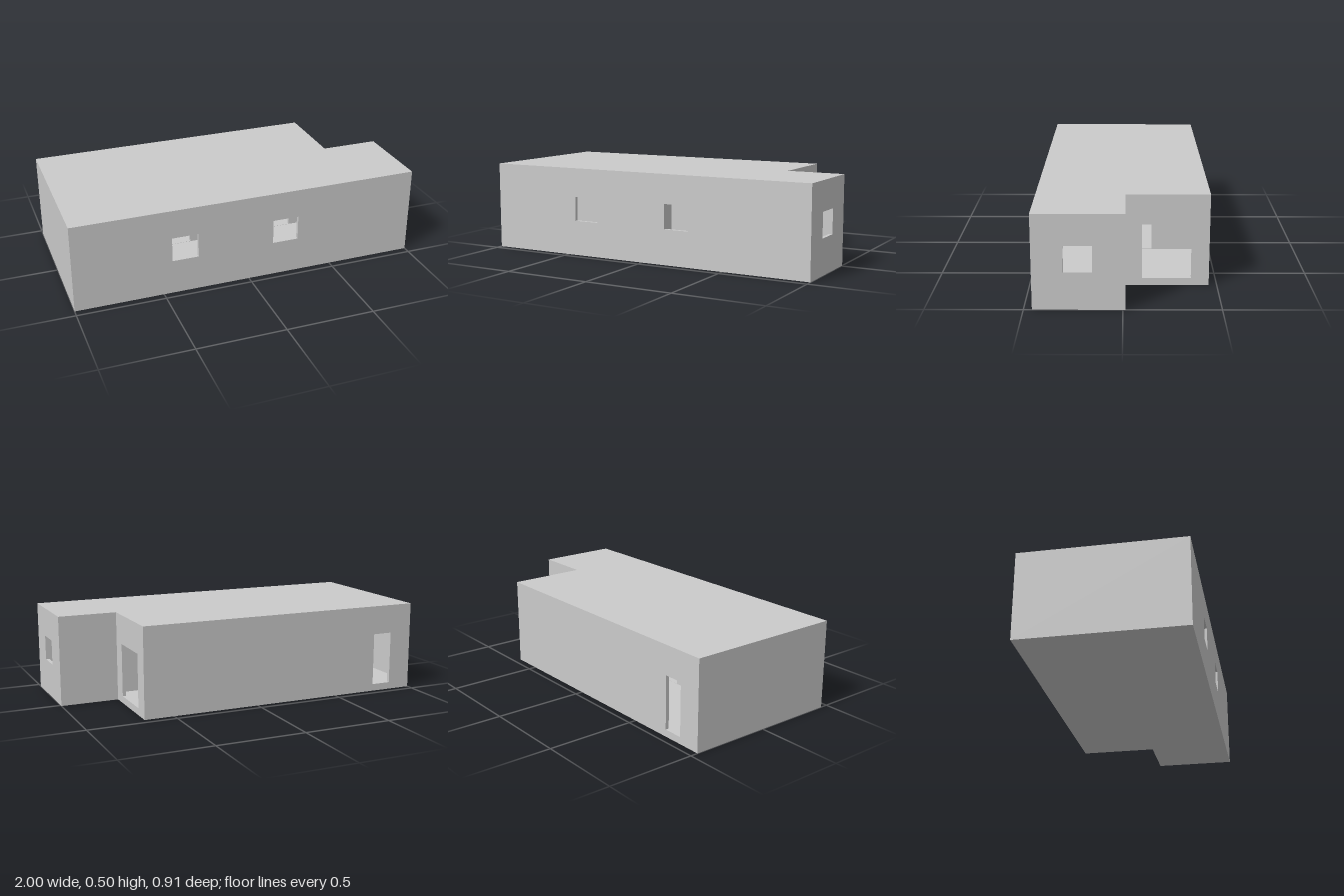
import * as THREE from 'three';

const material = new THREE.MeshStandardMaterial({ color: 0xcccccc, side: THREE.DoubleSide, flatShading: true });
const H = 0.505, FLOOR = 0.04, CEILING = 0.465, T = 0.02;
const DOOR = [0.04, 0.34], WINDOW = [0.2, 0.34];

function add(group, name, geometry) {
  const mesh = new THREE.Mesh(geometry, material);
  mesh.name = name;
  group.add(mesh);
  return mesh;
}

// Rectangle outline, used for panels and their openings
function rect(u0, u1, y0, y1, Type = THREE.Shape) {
  return new Type([[u0, y0], [u1, y0], [u1, y1], [u0, y1]].map(p => new THREE.Vector2(...p)));
}

// Footprint corners [x, z]: outer face and inner lining of the shell
const outer = [[-1, 0.457], [1, 0.457], [1, -0.013], [0.67, -0.013], [0.67, -0.457], [-1, -0.457]];
const inner = [[-1 + T, 0.457 - T], [1 - T, 0.457 - T], [1 - T, -0.013 + T],
  [0.67 - T, -0.013 + T], [0.67 - T, -0.457 + T], [-1 + T, -0.457 + T]];

// Openings of each wall: [from, to] in world x or z, then the height range
const walls = [
  { name: 'frontWall', openings: [[-0.447, -0.297, WINDOW], [0.143, 0.293, WINDOW]] },
  { name: 'rightWall', openings: [[0.152, 0.298, WINDOW]] },
  { name: 'notchBackWall', openings: [] },
  { name: 'notchSideWall', openings: [[-0.362, -0.1, DOOR]] },
  { name: 'backWall', openings: [[-0.867, -0.753, DOOR]] },
  { name: 'leftWall', openings: [] },
];

// One upright sheet from corner a to corner b, pierced by the openings
function sheet(a, b, openings, y0, y1) {
  const dx = b[0] - a[0], dz = b[1] - a[1];
  const axis = Math.abs(dx) > Math.abs(dz) ? 0 : 1;
  const sign = Math.sign(b[axis] - a[axis]);
  const shape = rect(0, Math.hypot(dx, dz), y0, y1);
  for (const [lo, hi, [bottom, top]] of openings) {
    const u = [lo, hi].map(w => (w - a[axis]) * sign).sort((p, q) => p - q);
    shape.holes.push(rect(u[0], u[1], bottom, top, THREE.Path));
  }
  const geometry = new THREE.ShapeGeometry(shape);
  geometry.rotateY(Math.atan2(-dz, dx));
  return geometry.translate(a[0], 0, a[1]);
}

// The four faces lining an opening through the thickness of a wall
function reveal(group, a, b, inside, [lo, hi, [bottom, top]]) {
  const alongX = Math.abs(b[0] - a[0]) > Math.abs(b[1] - a[1]);
  const k = alongX ? 1 : 0;
  const depth = (a[k] + inside[k]) / 2;
  const frame = new THREE.Group();
  frame.name = 'openingReveal';
  for (const u of [lo, hi]) {
    const jamb = add(frame, 'jamb', new THREE.PlaneGeometry(T, top - bottom));
    if (alongX) jamb.rotation.y = Math.PI / 2;
    jamb.position.set(alongX ? u : depth, (bottom + top) / 2, alongX ? depth : u);
  }
  for (const y of [bottom, top]) {
    const plate = add(frame, y === bottom ? 'sill' : 'lintel',
      new THREE.PlaneGeometry(alongX ? hi - lo : T, alongX ? T : hi - lo));
    plate.rotation.x = -Math.PI / 2;
    plate.position.set(alongX ? (lo + hi) / 2 : depth, y, alongX ? depth : (lo + hi) / 2);
  }
  group.add(frame);
}

// Horizontal sheet over a footprint
function slab(points, y) {
  const shape = new THREE.Shape(points.map(([x, z]) => new THREE.Vector2(x, -z)));
  return new THREE.ShapeGeometry(shape).rotateX(-Math.PI / 2).translate(0, y, 0);
}

// Thin inner wall from lo to hi with doorways, extruded by T
function partition(lo, hi, doorways) {
  const shape = rect(lo, hi, FLOOR, CEILING);
  for (const [d0, d1] of doorways) shape.holes.push(rect(d0, d1, DOOR[0] + 0.001, DOOR[1], THREE.Path));
  return new THREE.ExtrudeGeometry(shape, { depth: T, bevelEnabled: false });
}

export function createModel() {
  const house = new THREE.Group();
  house.name = 'house';

  // Outer walls with their linings and openings
  walls.forEach(({ name, openings }, i) => {
    const j = (i + 1) % walls.length;
    const wall = new THREE.Group();
    wall.name = name;
    add(wall, 'outerFace', sheet(outer[i], outer[j], openings, 0, H));
    add(wall, 'innerFace', sheet(inner[i], inner[j], openings, FLOOR, CEILING));
    for (const o of openings) reveal(wall, outer[i], outer[j], inner[i], o);
    house.add(wall);
  });

  // Roof, ceiling, floor and underside
  add(house, 'roof', slab(outer, H));
  add(house, 'ceiling', slab(inner, CEILING));
  add(house, 'floor', slab(inner, FLOOR));
  const base = slab(outer, 0);
  add(house, 'underside', base);

  // Inner walls between the rooms
  const middle = add(house, 'middlePartition', partition(-1 + T, 0.67 - T, [[-0.32, -0.2], [0.32, 0.44]]));
  middle.position.z = -0.013;
  const front = add(house, 'frontPartition', partition(-0.437, -0.007, []));
  front.rotation.y = Math.PI / 2;
  front.position.x = -0.09;
  const back = add(house, 'backPartition', partition(0.013, 0.437, [[0.04, 0.163]]));
  back.rotation.y = Math.PI / 2;
  back.position.x = 0.2;

  return house;
}
